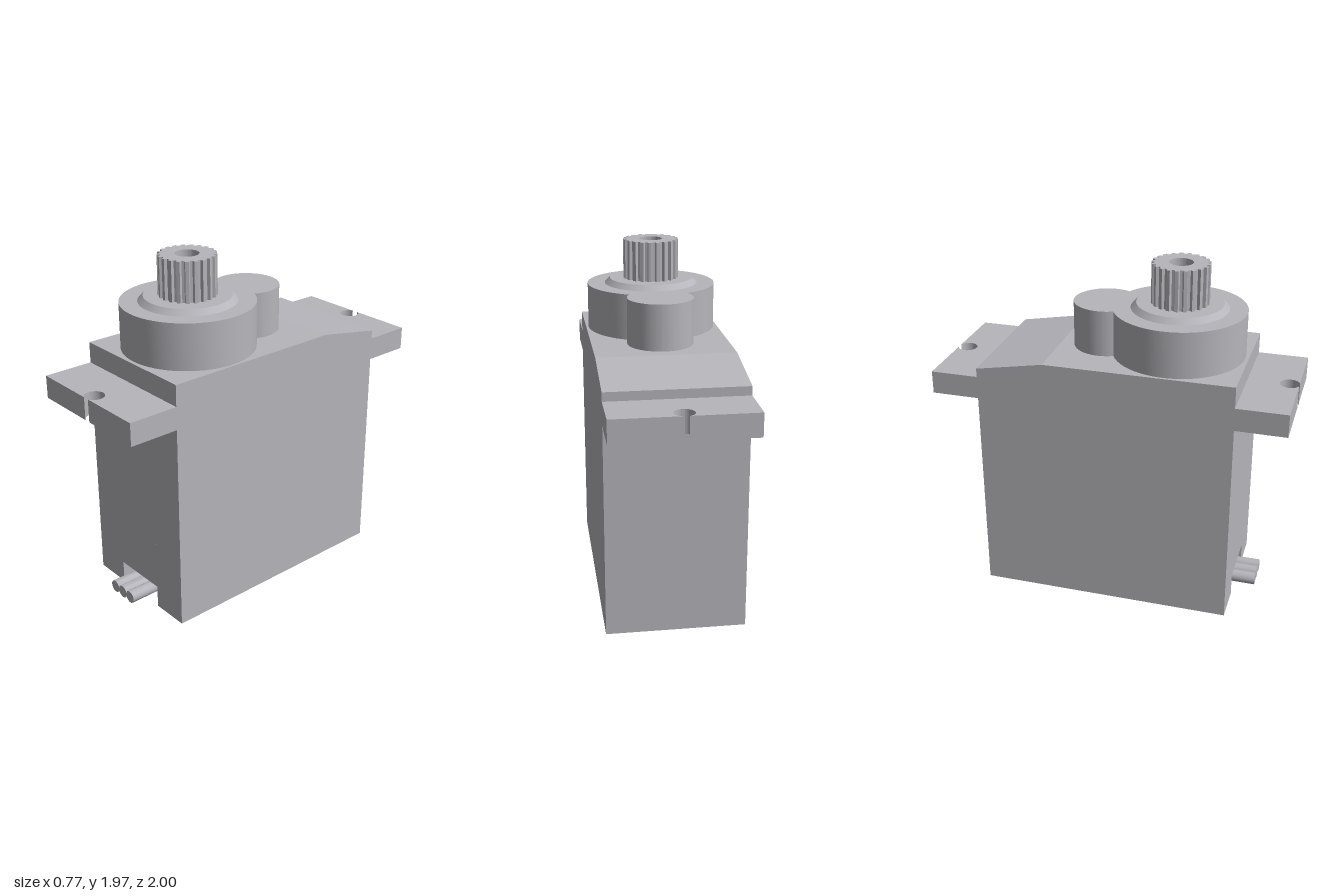
import * as THREE from 'three';
import { toCreasedNormals } from 'three/addons/utils/BufferGeometryUtils.js';

const grey = new THREE.MeshStandardMaterial({ color: 0xb5b5bb });
grey.name = 'casing grey';

const HALF = 0.385;              // half width of the casing
const FRONT = 0.715, BACK = -0.73;
const SHAFT_Z = 0.325;           // axis of the output shaft

function part(group, name, geometry, crease = 0.6) {
  const mesh = new THREE.Mesh(toCreasedNormals(geometry, crease), grey);
  mesh.name = name;
  group.add(mesh);
  return mesh;
}

// Extrudes a (z, y) side outline between two x positions
function extrudeAcross(points, x0, x1) {
  const shape = new THREE.Shape(points.map(([z, y]) => new THREE.Vector2(z, y)));
  return new THREE.ExtrudeGeometry(shape, { depth: x1 - x0, bevelEnabled: false })
    .rotateY(-Math.PI / 2).translate(x1, 0, 0);
}

// Extrudes an (x, z) plan outline between two heights
function extrudeUp(shape, y0, y1) {
  return new THREE.ExtrudeGeometry(shape, { depth: y1 - y0, bevelEnabled: false, curveSegments: 48 })
    .rotateX(Math.PI / 2).translate(0, y1, 0);
}

// Mounting tab with a round screw notch breaking through its end
function tabShape(root) {
  const r = 0.055, cz = 0.948;
  const a = Math.asin((1 - cz) / r);
  const s = new THREE.Shape();
  s.moveTo(-HALF, root);
  s.lineTo(HALF, root);
  s.lineTo(HALF, 1);
  s.lineTo(r * Math.cos(a), 1);
  s.absarc(0, cz, r, a, Math.PI - a, true);
  s.lineTo(-HALF, 1);
  s.closePath();
  return s;
}

// Two overlapping circles: large output housing and small idler housing
function housingShape() {
  const R = 0.37, r = 0.185, idlerZ = -0.09, d = SHAFT_Z - idlerZ;
  const along = (d * d + R * R - r * r) / (2 * d);
  const big = Math.acos(along / R), small = Math.acos((d - along) / r);
  const s = new THREE.Shape();
  s.absarc(0, SHAFT_Z, R, -Math.PI / 2 + big, Math.PI * 1.5 - big, false);
  s.absarc(0, idlerZ, r, Math.PI / 2 + small, Math.PI * 2.5 - small, false);
  s.closePath();
  return s;
}

// Toothed shaft outline with a screw hole
function splineShape(teeth) {
  const points = [];
  const step = (Math.PI * 2) / teeth;
  for (let i = 0; i < teeth; i++) {
    for (const [t, r] of [[-0.34, 0.144], [-0.2, 0.16], [0.2, 0.16], [0.34, 0.144]]) {
      const a = Math.PI / 2 + (i + t) * step;
      points.push(new THREE.Vector2(r * Math.cos(a), SHAFT_Z + r * Math.sin(a)));
    }
  }
  const s = new THREE.Shape(points);
  s.holes.push(new THREE.Path().absarc(0, SHAFT_Z, 0.066, 0, Math.PI * 2, true));
  return s;
}

export function createModel() {
  const model = new THREE.Group();
  model.name = 'servoMotor';

  // Casing: two side slabs and a middle slab with the cable recess
  const casing = new THREE.Group();
  casing.name = 'casing';
  model.add(casing);
  const upper = [[FRONT, 1.45], [-0.345, 1.45], [BACK, 1.38], [BACK, 0]];
  const recess = 0.165, recessZ = FRONT - 0.1;
  const full = [[FRONT, 0], ...upper];
  const notched = [[recessZ, 0], [recessZ, 0.13], [FRONT, 0.13], ...upper];
  part(casing, 'casingRight', extrudeAcross(full, -HALF, -recess), 0.1);
  part(casing, 'casingMiddle', extrudeAcross(notched, -recess, recess), 0.1);
  part(casing, 'casingLeft', extrudeAcross(full, recess, HALF), 0.1);

  // Mounting tabs
  part(model, 'frontTab', extrudeUp(tabShape(FRONT), 1.2, 1.33));
  part(model, 'backTab', extrudeUp(tabShape(-BACK), 1.2, 1.33)).rotation.y = Math.PI;

  // Gear housing, bevelled collar and splined shaft
  part(model, 'gearHousing', extrudeUp(housingShape(), 1.45, 1.71));
  part(model, 'collar', new THREE.CylinderGeometry(0.24, 0.27, 0.03, 64)
    .translate(0, 1.725, SHAFT_Z));
  part(model, 'splinedShaft', extrudeUp(splineShape(21), 1.74, 1.965), 0.4);

  // Cable wires
  for (const x of [-0.07, 0, 0.07]) {
    part(model, 'wire', new THREE.CylinderGeometry(0.036, 0.036, 0.84 - recessZ, 24)
      .rotateX(Math.PI / 2).translate(x, 0.067, (0.84 + recessZ) / 2));
  }
  return model;
}
